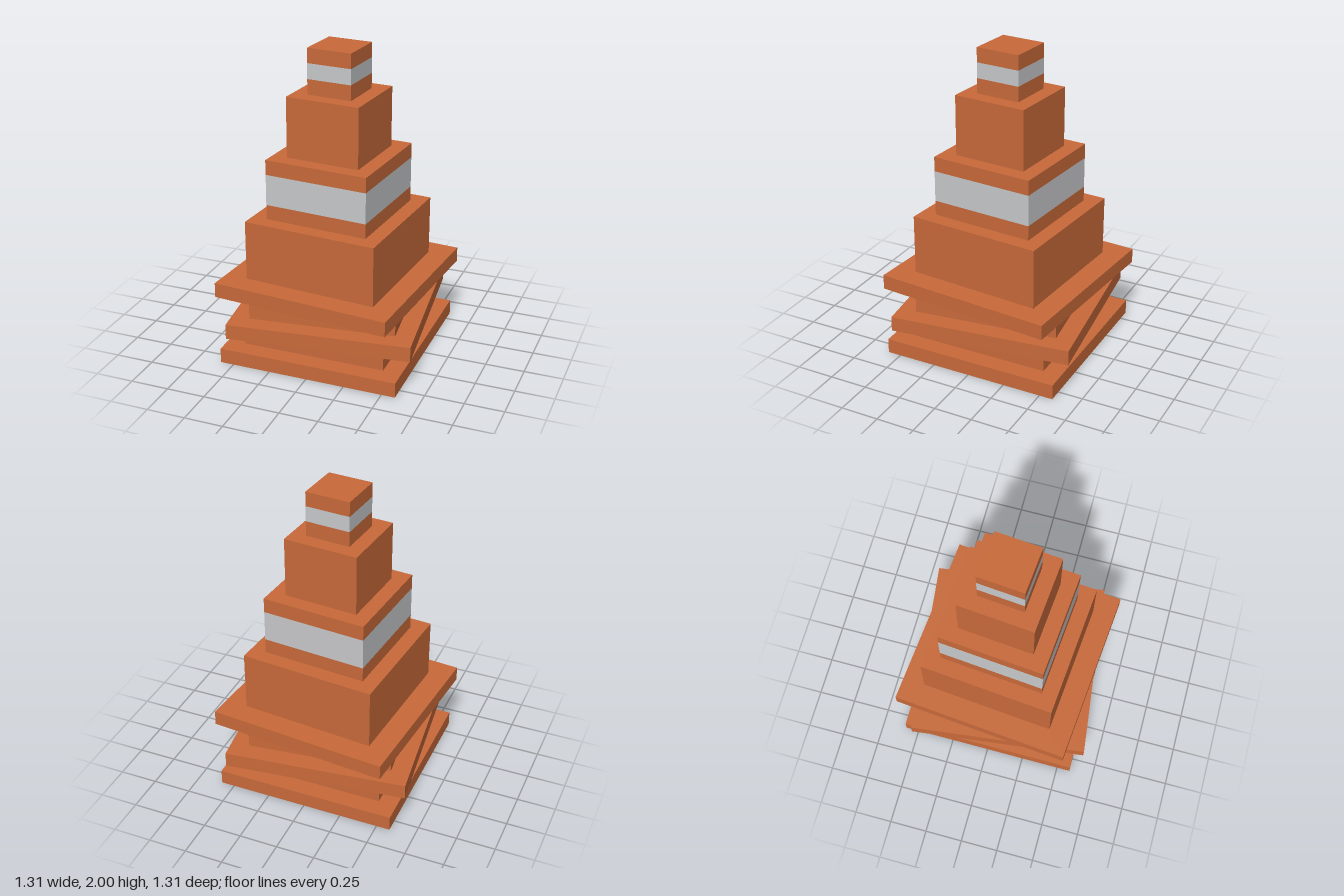
import * as THREE from 'three';

export function createModel() {
  const orange = new THREE.MeshStandardMaterial({ color: 0xc96a3a });
  orange.name = 'orange';
  const paleGrey = new THREE.MeshStandardMaterial({ color: 0xc8c9cb });
  paleGrey.name = 'paleGrey';

  const model = new THREE.Group();
  model.name = 'trafficCone';

  // square block from height y0 to y1
  function block(parent, name, width, y0, y1, material) {
    const mesh = new THREE.Mesh(new THREE.BoxGeometry(width, y1 - y0, width), material);
    mesh.position.y = (y0 + y1) / 2;
    mesh.name = name;
    parent.add(mesh);
  }

  // each cone in the stack has its own twist
  function cone(name, degrees) {
    const group = new THREE.Group();
    group.name = name;
    group.rotation.y = THREE.MathUtils.degToRad(degrees);
    model.add(group);
    return group;
  }

  // lower cones: base plate and the visible part of the body
  const bottom = cone('bottomCone', 0);
  block(bottom, 'basePlate', 1.176, 0, 0.098, orange);
  block(bottom, 'body', 0.938, 0.098, 0.22, orange);

  const middle = cone('middleCone', 7);
  block(middle, 'basePlate', 1.176, 0.22, 0.317, orange);
  block(middle, 'body', 0.938, 0.317, 0.432, orange);

  // top cone: base plate and four stepped tiers
  const top = cone('topCone', -5.1);
  block(top, 'basePlate', 1.176, 0.432, 0.529, orange);
  block(top, 'lowerTier', 0.882, 0.529, 0.921, orange);
  block(top, 'upperTier', 0.487, 1.315, 1.707, orange);

  // tiers with a reflective band between orange edges
  const banded = [
    ['bandedTier', 0.683, [0.921, 1.017, 1.218, 1.315]],
    ['tip', 0.294, [1.707, 1.805, 1.905, 2]],
  ];
  for (const [name, width, y] of banded) {
    const tier = new THREE.Group();
    tier.name = name;
    top.add(tier);
    block(tier, 'lowerEdge', width, y[0], y[1], orange);
    block(tier, 'reflectiveBand', width, y[1], y[2], paleGrey);
    block(tier, 'upperEdge', width, y[2], y[3], orange);
  }
  return model;
}
